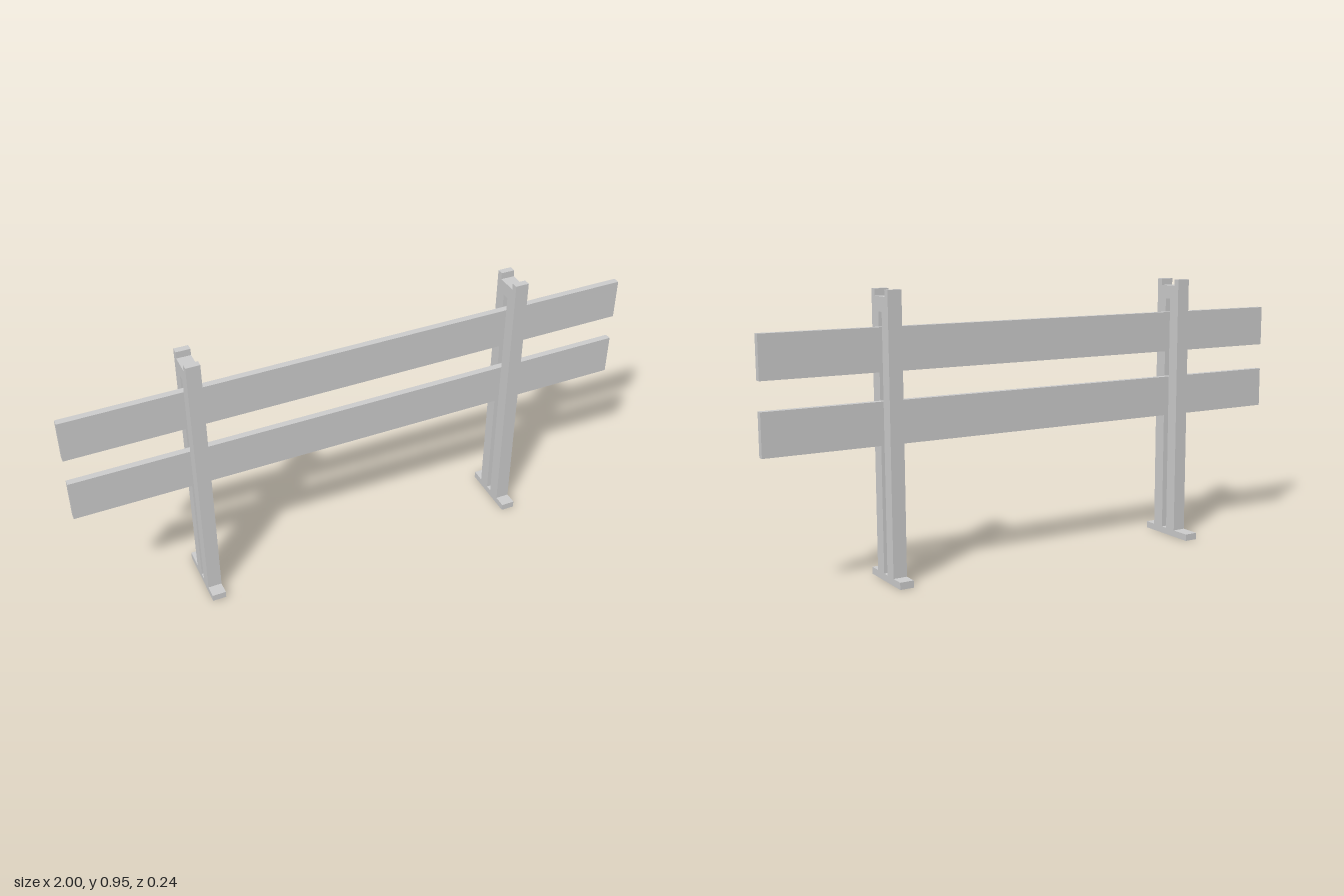
import * as THREE from 'three';

const material = new THREE.MeshStandardMaterial({ color: 0xcccccc, flatShading: true });

// Slotted upright with a foot and a notched top, drawn in (z, y) and extruded along x
function createPost(name, xMin, footBack) {
  const outline = [
    [0.118, 0], [0.118, 0.024], [0.073, 0.024], [0.073, 0.953],
    [0.05, 0.953], [0.05, 0.93], [-0.023, 0.93], [-0.023, 0.953],
    [-0.046, 0.953], [-0.046, 0.024], [footBack, 0.024], [footBack, 0],
  ];
  const slot = [[0, 0.024], [0.025, 0.024], [0.025, 0.882], [0, 0.882]];
  const toPoints = (list) => list.map(([z, y]) => new THREE.Vector2(z, y));

  const shape = new THREE.Shape(toPoints(outline));
  shape.holes.push(new THREE.Path(toPoints(slot)));
  const width = 0.048;
  const geometry = new THREE.ExtrudeGeometry(shape, { depth: width, bevelEnabled: false });
  geometry.rotateY(-Math.PI / 2).translate(xMin + width, 0, 0);

  const post = new THREE.Mesh(geometry, material);
  post.name = name;
  return post;
}

// Long plank passing through the slots of both posts
function createRail(name, yMin) {
  const rail = new THREE.Mesh(new THREE.BoxGeometry(2, 0.143, 0.023), material);
  rail.position.set(0, yMin + 0.0715, 0.0135);
  rail.name = name;
  return rail;
}

export function createModel() {
  const group = new THREE.Group();
  group.name = 'railFence';
  group.add(
    createPost('rightPost', -0.6, -0.118),
    createPost('leftPost', 0.547, -0.095), // this foot is shorter at the back
    createRail('lowerRail', 0.454),
    createRail('upperRail', 0.691),
  );
  return group;
}
